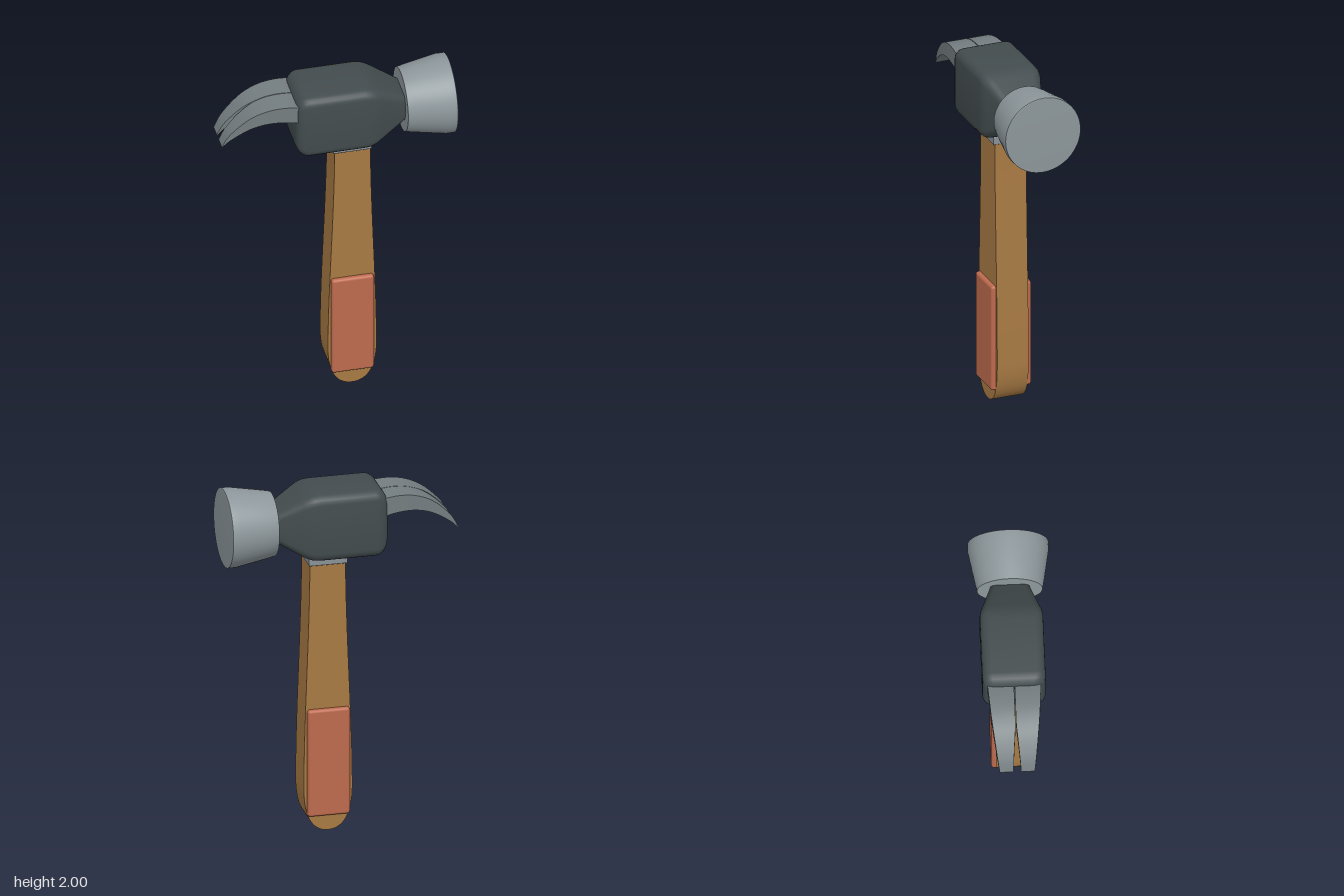
import * as THREE from 'three';
import { toCreasedNormals } from 'three/addons/utils/BufferGeometryUtils.js';
import { RoundedBoxGeometry } from 'three/addons/geometries/RoundedBoxGeometry.js';

const HEAD_Y = 1.782;

function part(parent, name, geometry, color) {
  const mesh = new THREE.Mesh(geometry, new THREE.MeshStandardMaterial({ color }));
  mesh.name = name;
  parent.add(mesh);
  return mesh;
}

// Skins rings of points [x, y, z] that follow each other along +x, and caps both ends
function loft(rings) {
  const n = rings[0].length, last = rings.length - 1;
  const positions = rings.flat(2), index = [];
  for (let i = 0; i < last; i++) {
    for (let j = 0; j < n; j++) {
      const k = (j + 1) % n;
      const a = i * n + j, b = i * n + k, c = b + n, d = a + n;
      index.push(a, b, c, a, c, d);
    }
  }
  for (const end of [0, last]) {
    const center = positions.length / 3;
    for (let axis = 0; axis < 3; axis++) {
      positions.push(rings[end].reduce((sum, p) => sum + p[axis], 0) / n);
    }
    for (let j = 0; j < n; j++) {
      const a = end * n + j, b = end * n + (j + 1) % n;
      if (end === 0) index.push(center, b, a);
      else index.push(center, a, b);
    }
  }
  const geometry = new THREE.BufferGeometry();
  geometry.setAttribute('position', new THREE.Float32BufferAttribute(positions, 3));
  geometry.setIndex(index);
  return toCreasedNormals(geometry, 0.6);
}

// Rounded rectangle across the x axis
function headRing(x, halfY, halfZ, r) {
  const ring = [];
  [[1, 1], [-1, 1], [-1, -1], [1, -1]].forEach(([sy, sz], corner) => {
    for (let s = 0; s <= 5; s++) {
      const a = (corner + s / 5) * Math.PI / 2;
      ring.push([
        x,
        HEAD_Y + sy * (halfY - r) + r * Math.cos(a),
        sz * (halfZ - r) + r * Math.sin(a),
      ]);
    }
  });
  return ring;
}

function headGeometry() {
  const rings = [];
  // rounded rear edge
  for (let s = 0; s <= 6; s++) {
    const a = s / 6 * Math.PI / 2;
    const inset = 1 - Math.sin(a);
    rings.push(headRing(-0.24 + 0.07 * (1 - Math.cos(a)), 0.192 - 0.075 * inset, 0.172 - 0.045 * inset, 0.05));
  }
  // straight body, then the taper into the neck
  [
    [0.14, 0.192, 0.172, 0.05],
    [0.175, 0.188, 0.172, 0.05],
    [0.205, 0.178, 0.167, 0.05],
    [0.235, 0.163, 0.156, 0.048],
    [0.38, 0.078, 0.105, 0.035],
  ].forEach((section) => rings.push(headRing(...section)));
  return loft(rings);
}

// One prong of the claw, on the +z or -z side
function clawGeometry(side) {
  const spline = (pairs) => new THREE.SplineCurve(pairs.map(([u, v]) => new THREE.Vector2(u, v)));
  const top = spline([[-0.646, 1.698], [-0.6, 1.778], [-0.5, 1.872], [-0.4, 1.918], [-0.3, 1.93], [-0.2, 1.92]]);
  const bottom = spline([[-0.645, 1.692], [-0.6, 1.738], [-0.5, 1.803], [-0.4, 1.833], [-0.3, 1.833], [-0.2, 1.815]]);
  const outer = spline([[-0.646, 0.095], [-0.6, 0.105], [-0.5, 0.12], [-0.4, 0.132], [-0.3, 0.14], [-0.2, 0.147]]);
  const rings = [];
  for (let i = 0; i <= 24; i++) {
    const t = i / 24;
    const p = top.getPoint(t), q = bottom.getPoint(t);
    const zOut = outer.getPoint(t).y;
    const zIn = 0.002 + 0.019 * Math.max(0, (-0.45 - p.x) / 0.196);
    const z0 = side > 0 ? zIn : -zOut, z1 = side > 0 ? zOut : -zIn;
    rings.push([[p.x, p.y, z0], [p.x, p.y, z1], [q.x, q.y, z1], [q.x, q.y, z0]]);
  }
  return loft(rings);
}

function handleGeometry() {
  const shape = new THREE.Shape();
  shape.moveTo(-0.015, 1.56);
  shape.bezierCurveTo(-0.018, 1.1, -0.052, 0.65, -0.053, 0.25);
  shape.bezierCurveTo(-0.053, 0.06, 0.01, 0, 0.083, 0);
  shape.bezierCurveTo(0.156, 0, 0.218, 0.06, 0.218, 0.25);
  shape.bezierCurveTo(0.218, 0.65, 0.187, 1.1, 0.184, 1.56);
  shape.closePath();
  const geometry = new THREE.ExtrudeGeometry(shape, { depth: 0.184, bevelEnabled: false, curveSegments: 20 });
  geometry.translate(0, 0, -0.092);
  return toCreasedNormals(geometry, 0.6);
}

function strikerGeometry() {
  const profile = [
    [0, 0.375], [0.178, 0.375], [0.187, 0.417], [0.22, 0.598],
    [0.22, 0.643], [0.217, 0.645], [0.182, 0.646], [0, 0.646],
  ].map(([r, x]) => new THREE.Vector2(r, x));
  const geometry = new THREE.LatheGeometry(profile, 64);
  geometry.rotateZ(-Math.PI / 2);
  geometry.translate(0, 1.78, 0);
  return toCreasedNormals(geometry, 0.4);
}

export function createModel() {
  const hammer = new THREE.Group();
  hammer.name = 'hammer';

  part(hammer, 'handle', handleGeometry(), 0xa87a44);
  part(hammer, 'head', headGeometry(), 0x434c4e);
  part(hammer, 'striker', strikerGeometry(), 0x8d979b);

  // metal collar between handle and head
  part(hammer, 'collar', new RoundedBoxGeometry(0.216, 0.05, 0.204, 2, 0.006), 0x8a9297)
    .position.set(0.083, 1.573, 0);

  for (const side of [1, -1]) {
    part(hammer, side > 0 ? 'frontClaw' : 'backClaw', clawGeometry(side), 0x747d80);
    // raised grip pad
    part(hammer, side > 0 ? 'frontGrip' : 'backGrip', new RoundedBoxGeometry(0.236, 0.62, 0.06, 4, 0.016), 0xbd6a4e)
      .position.set(0.082, 0.4, side * 0.088);
  }

  return hammer;
}
